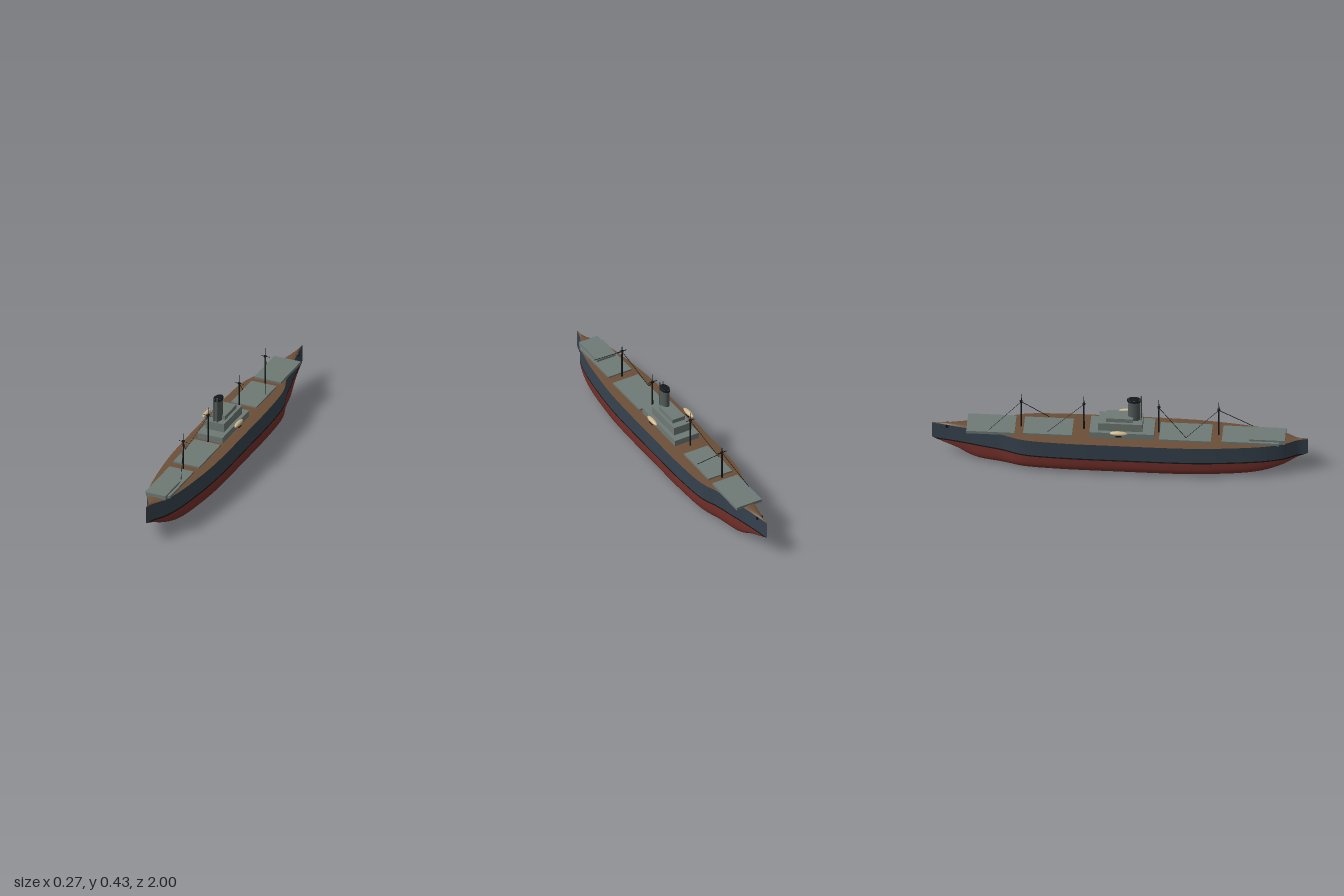
import * as THREE from 'three';

const mat = (color) => new THREE.MeshStandardMaterial({ color });
const paint = {
  hull: mat(0x36424e), red: mat(0x74302a), black: mat(0x14171a),
  deck: mat(0x6b4f38), grey: mat(0x6f7a75), funnel: mat(0x515a58), cream: mat(0xc8b48a),
};
const DECK = 0.2, CAMBER = 0.006;

// Hull stations: z, half-beam, keel height
const stations = new THREE.CatmullRomCurve3([
  [-1, 0, 0.11], [-0.93, 0.01, 0.08], [-0.86, 0.024, 0.054], [-0.795, 0.038, 0.02],
  [-0.74, 0.052, 0.005], [-0.62, 0.08, 0.001], [-0.51, 0.116, 0], [-0.32, 0.131, 0],
  [0, 0.133, 0], [0.32, 0.131, 0], [0.46, 0.124, 0.003], [0.68, 0.099, 0.012],
  [0.785, 0.08, 0.03], [0.875, 0.052, 0.06], [0.945, 0.012, 0.09], [1, 0, 0.11],
].map((p) => new THREE.Vector3(...p))).getPoints(90)
  .map((p) => ({ z: p.x, w: Math.max(p.y, 0), keel: Math.max(p.z, 0) }));

// Skin the stations; section(station, v) gives [x, y] for v from 0 to 1
function skin(name, material, nv, section) {
  const pos = [], index = [], n = nv + 1;
  stations.forEach((s, i) => {
    for (let j = 0; j <= nv; j++) {
      const [x, y] = section(s, j / nv);
      pos.push(x, y, s.z);
      if (i < stations.length - 1 && j < nv) {
        const a = i * n + j;
        index.push(a, a + n, a + 1, a + n, a + n + 1, a + 1);
      }
    }
  });
  const g = new THREE.BufferGeometry();
  g.setAttribute('position', new THREE.Float32BufferAttribute(pos, 3));
  g.setIndex(index);
  g.computeVertexNormals();
  const m = new THREE.Mesh(g, material);
  m.name = name;
  return m;
}

function mesh(name, geometry, material, x = 0, y = 0, z = 0) {
  const m = new THREE.Mesh(geometry, material);
  m.name = name;
  m.position.set(x, y, z);
  return m;
}

// Box from half-width, bottom, top and z range
const block = (name, hw, y0, y1, z0, z1, material = paint.grey) =>
  mesh(name, new THREE.BoxGeometry(2 * hw, y1 - y0, z1 - z0), material, 0, (y0 + y1) / 2, (z0 + z1) / 2);

// Round bar between two points
function bar(name, a, b, r) {
  const from = new THREE.Vector3(...a), to = new THREE.Vector3(...b);
  const dir = to.clone().sub(from);
  const m = mesh(name, new THREE.CylinderGeometry(r, r, dir.length(), 8), paint.black);
  m.position.copy(from).add(to).multiplyScalar(0.5);
  m.quaternion.setFromUnitVectors(new THREE.Vector3(0, 1, 0), dir.normalize());
  return m;
}

function createHull() {
  const hull = new THREE.Group();
  hull.name = 'hull';
  const side = (name, material, top, bottom) => {
    for (const s of [1, -1]) {
      hull.add(skin(name, material, 2, (p, v) => {
        const t = s > 0 ? v : 1 - v;
        return [s * p.w, Math.max(top + (bottom - top) * t, p.keel)];
      }));
    }
  };
  side('topside', paint.hull, DECK, 0.106);
  side('waterlineStripe', paint.black, 0.106, 0.098);
  // Rounded bottom
  hull.add(skin('hullBottom', paint.red, 40, (p, v) => {
    const c = Math.cos(v * Math.PI), s = Math.sin(v * Math.PI);
    const r = (c ** 4 + s ** 4) ** -0.25;
    const top = Math.max(0.098, p.keel);
    return [p.w * c * r, top - (top - p.keel) * s * r];
  }));
  // Cambered deck
  hull.add(skin('deck', paint.deck, 8, (p, v) => {
    const u = 2 * v - 1;
    return [p.w * u, DECK + CAMBER * (1 - u * u)];
  }));
  // Anchor openings
  const hawse = mesh('hawseHole', new THREE.CylinderGeometry(0.009, 0.009, 0.034, 16), paint.black, 0, 0.191, -0.918);
  hawse.rotation.z = Math.PI / 2;
  hull.add(hawse);
  return hull;
}

function createFunnel() {
  const funnel = new THREE.Group();
  funnel.name = 'funnel';
  const drum = (name, r, y0, y1, material) => {
    const m = mesh(name, new THREE.CylinderGeometry(r, r, y1 - y0, 32), material, 0, (y0 + y1) / 2, 0.075);
    m.scale.z = 1.55;
    funnel.add(m);
  };
  drum('funnelBody', 0.021, 0.285, 0.414, paint.funnel);
  drum('funnelCap', 0.024, 0.404, 0.414, paint.black);
  drum('funnelMouth', 0.019, 0.41, 0.416, paint.black);
  for (const x of [-0.01, 0.01]) {
    funnel.add(mesh('steamPipe', new THREE.CylinderGeometry(0.0035, 0.0035, 0.145, 10), paint.funnel, x, 0.3575, 0.112));
  }
  return funnel;
}

function createMast(z, boomEnds) {
  const mast = new THREE.Group();
  mast.name = 'mast';
  mast.add(
    mesh('lowerMast', new THREE.CylinderGeometry(0.004, 0.005, 0.17, 10), paint.black, 0, 0.285, z),
    mesh('topMast', new THREE.CylinderGeometry(0.001, 0.002, 0.05, 8), paint.black, 0, 0.393, z),
    mesh('mastCap', new THREE.CylinderGeometry(0.008, 0.008, 0.007, 12), paint.black, 0, 0.37, z),
    bar('crosstree', [-0.026, 0.37, z], [0.026, 0.37, z], 0.002),
  );
  for (const [x, zEnd] of boomEnds) mast.add(bar('boom', [0, 0.367, z], [x, 0.225, zEnd], 0.0017));
  return mast;
}

function createLifeboat(x, z) {
  const boat = new THREE.Group();
  boat.name = 'lifeboat';
  const shell = mesh('boatShell', new THREE.SphereGeometry(1, 24, 16), paint.cream, x, 0.26, z);
  shell.scale.set(0.0135, 0.0125, 0.048);
  boat.add(shell, mesh('boatCradle', new THREE.BoxGeometry(0.022, 0.009, 0.03), paint.black, x, 0.247, z));
  return boat;
}

export function createModel() {
  const ship = new THREE.Group();
  ship.name = 'cargoShip';
  ship.add(createHull());

  // Cargo hatches and end house
  ship.add(
    block('hatch', 0.077, 0.199, 0.215, -0.812, -0.555),
    block('hatch', 0.073, 0.199, 0.214, -0.51, -0.25),
    block('hatch', 0.076, 0.199, 0.214, 0.212, 0.488),
    block('hatch', 0.071, 0.199, 0.214, 0.545, 0.85),
    block('endHouse', 0.057, 0.2, 0.225, 0.69, 0.88),
  );

  // Stepped deckhouse amidships
  ship.add(
    block('lowerHouse', 0.073, 0.199, 0.239, -0.158, 0.185),
    block('middleHouse', 0.053, 0.239, 0.286, -0.112, 0.122),
    block('upperHouse', 0.038, 0.286, 0.309, -0.072, 0.072),
    createFunnel(),
  );

  // Masts with slanting booms
  ship.add(
    createMast(0.525, [[0.065, 0.7], [-0.065, 0.355]]),
    createMast(0.206, [[-0.065, 0.355]]),
    createMast(-0.192, [[-0.065, -0.38]]),
    createMast(-0.525, [[0.065, -0.38], [-0.068, -0.69]]),
  );

  ship.add(createLifeboat(0.1, 0.035), createLifeboat(-0.102, 0));
  return ship;
}
